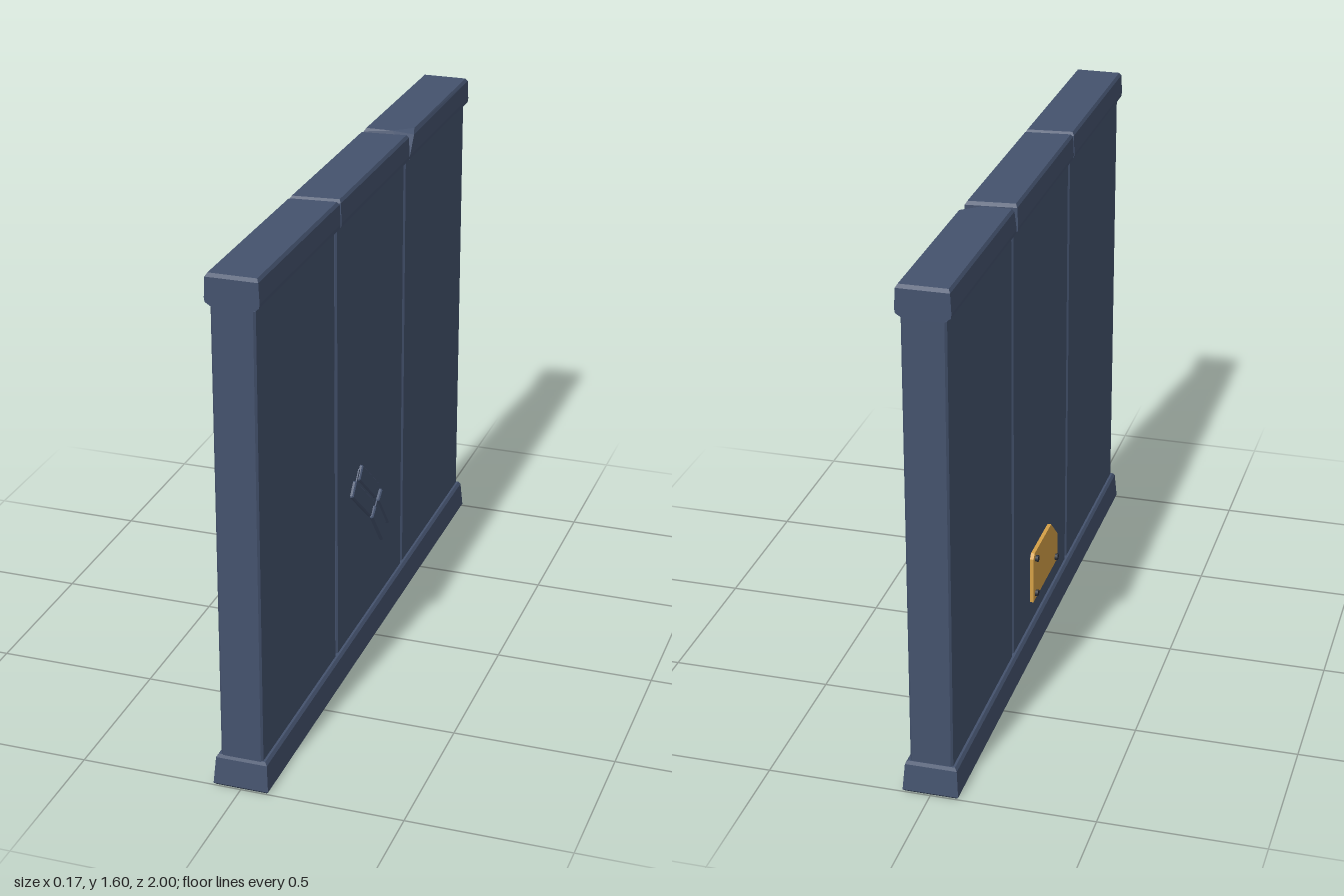
import * as THREE from 'three';
import { ConvexGeometry } from 'three/addons/geometries/ConvexGeometry.js';

const mat = (name, color) => {
  const m = new THREE.MeshStandardMaterial({ color });
  m.name = name;
  return m;
};

// Convex solid from a list of [x, y, z] corners
const hull = (pts) => new ConvexGeometry(pts.map((p) => new THREE.Vector3(...p)));

// Box with chamfered edges
function chamferBox(w, h, d, c) {
  const pts = [];
  for (const x of [-w / 2, w / 2]) for (const y of [-h / 2, h / 2]) for (const z of [-d / 2, d / 2]) {
    const sx = Math.sign(x) * c, sy = Math.sign(y) * c, sz = Math.sign(z) * c;
    pts.push([x, y - sy, z - sz], [x - sx, y, z - sz], [x - sx, y - sy, z]);
  }
  return hull(pts);
}

export function createModel() {
  const group = new THREE.Group();
  const navy = mat('navy metal', 0x44526d);
  const amber = mat('amber plate', 0xd4a047);
  const dark = mat('dark bolt', 0x2a2f38);

  const add = (name, geo, material, x = 0, y = 0, z = 0) => {
    const mesh = new THREE.Mesh(geo, material);
    mesh.name = name;
    mesh.position.set(x, y, z);
    group.add(mesh);
    return mesh;
  };

  // Recessed core seen in the seams, and three wall panels
  add('core', new THREE.BoxGeometry(0.11, 1.45, 1.94), navy, 0, 0.78, 0);
  for (const z of [0.662, 0, -0.66]) {
    add('wallPanel', chamferBox(0.13, 1.45, 0.648, 0.006), navy, 0, 0.785, z);
  }

  // Flared foot, as stacked rings [y, half width, half length]
  const foot = [];
  for (const [y, hx, hz] of [[0, 0.079, 0.994], [0.007, 0.085, 1], [0.09, 0.079, 0.991], [0.1, 0.072, 0.985]]) {
    for (const sx of [-1, 1]) for (const sz of [-1, 1]) foot.push([sx * hx, y, sz * hz]);
  }
  add('foot', hull(foot), navy);

  // Coping blocks with slightly slanted joints; z values are given at the -x and +x sides
  const capRings = [[1.503, 0.055], [1.517, 0.078], [1.53, 0.08], [1.59, 0.077], [1.6, 0.071]];
  function cap(back, front) {
    const pts = [];
    capRings.forEach(([y, hx], i) => {
      const inset = i === 4 ? 0.008 : 0;
      for (const s of [0, 1]) {
        pts.push([(s * 2 - 1) * hx, y, back[s] + inset], [(s * 2 - 1) * hx, y, front[s] - inset]);
      }
    });
    return pts;
  }
  add('frontCap', hull(cap([0.342, 0.328], [0.99, 0.99])), navy);
  add('middleCap', hull(cap([-0.32, -0.334], [0.333, 0.319])), navy);

  // Rear block has a broken corner beside the joint
  const rear = cap([-0.987, -0.987], [-0.337, -0.337]).filter(([, y, z]) => z < -0.5 || y < 1.54);
  rear.push([-0.077, 1.59, -0.35], [-0.071, 1.6, -0.357], [0.015, 1.6, -0.357], [0.072, 1.6, -0.405], [0.078, 1.585, -0.385]);
  add('rearCap', hull(rear), navy);

  // Raised bars on the left face: [y, z, length, width, tilt]
  const bars = [
    [0.535, 0.096, 0.235, 0.055, 0.7],
    [0.569, 0.038, 0.215, 0.052, 0.7],
    [0.374, -0.064, 0.17, 0.045, 0.9],
    [0.406, -0.126, 0.17, 0.045, 0.9],
  ];
  for (const [y, z, length, width, tilt] of bars) {
    add('raisedBar', chamferBox(0.02, width, length, 0.004), navy, 0.066, y, z).rotation.x = -tilt;
  }
  // Thin backing strips under each pair of bars
  for (const [y, z, length, width, tilt] of [[0.552, 0.067, 0.21, 0.08, 0.7], [0.39, -0.095, 0.15, 0.07, 0.9]]) {
    add('barBacking', new THREE.BoxGeometry(0.012, width, length), navy, 0.063, y, z).rotation.x = -tilt;
  }

  // Service plate with cut corners on the right face
  const outline = new THREE.Shape([
    [-0.13, 0.18], [0.165, 0.18], [0.172, 0.19], [0.172, 0.275], [0.09, 0.35], [-0.115, 0.35], [-0.13, 0.335],
  ].map(([u, v]) => new THREE.Vector2(u, v)));
  const plate = add('servicePlate',
    new THREE.ExtrudeGeometry(outline, { depth: 0.013, bevelEnabled: false }), amber, -0.064, 0, 0);
  plate.rotation.y = -Math.PI / 2;

  // Plate bolts
  for (const [y, z] of [[0.325, -0.1], [0.2, -0.1], [0.2, 0.148]]) {
    add('bolt', new THREE.CylinderGeometry(0.011, 0.011, 0.012, 8), dark, -0.08, y, z).rotation.z = Math.PI / 2;
  }

  return group;
}
